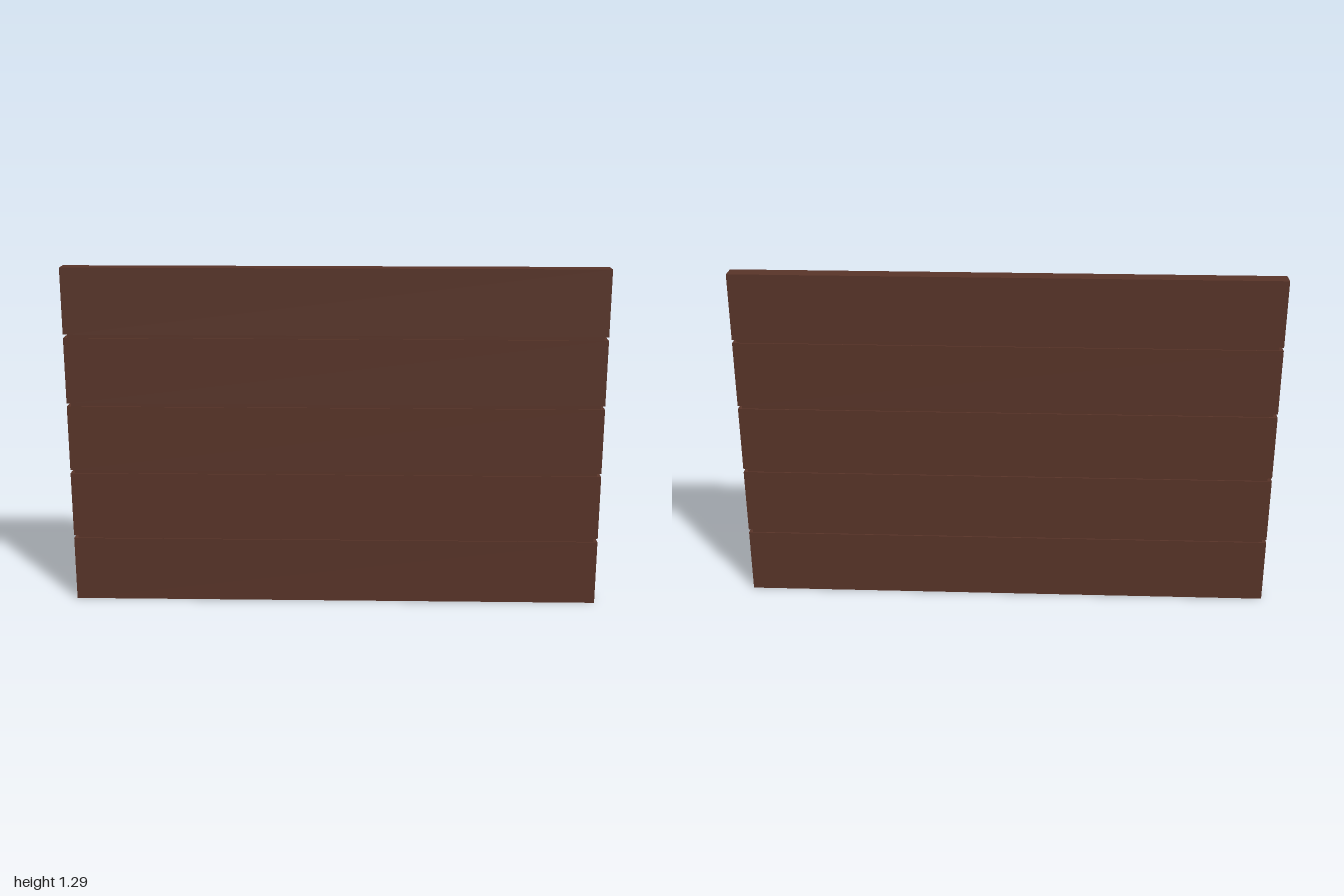
import * as THREE from 'three';

export function createModel() {
  const group = new THREE.Group();
  const wood = new THREE.MeshStandardMaterial({ color: 0x5a3529 });
  const count = 5, plankHeight = 0.247, pitch = 0.2598, thickness = 0.064;
  const total = pitch * (count - 1) + plankHeight;

  const addBox = (name, w, h, d, y) => {
    const mesh = new THREE.Mesh(new THREE.BoxGeometry(w, h, d), wood);
    mesh.name = name;
    mesh.position.y = y;
    group.add(mesh);
  };

  // Stacked horizontal planks with narrow gaps
  for (let i = 0; i < count; i++) {
    addBox('plank' + (i + 1), 2, plankHeight, thickness, i * pitch + plankHeight / 2);
  }

  // Recessed strips that fill the gaps between planks
  for (let i = 0; i < count - 1; i++) {
    const gap = pitch - plankHeight;
    addBox('grooveStrip' + (i + 1), 1.97, gap, thickness - 0.011, i * pitch + plankHeight + gap / 2);
  }

  group.userData.height = total;
  return group;
}
